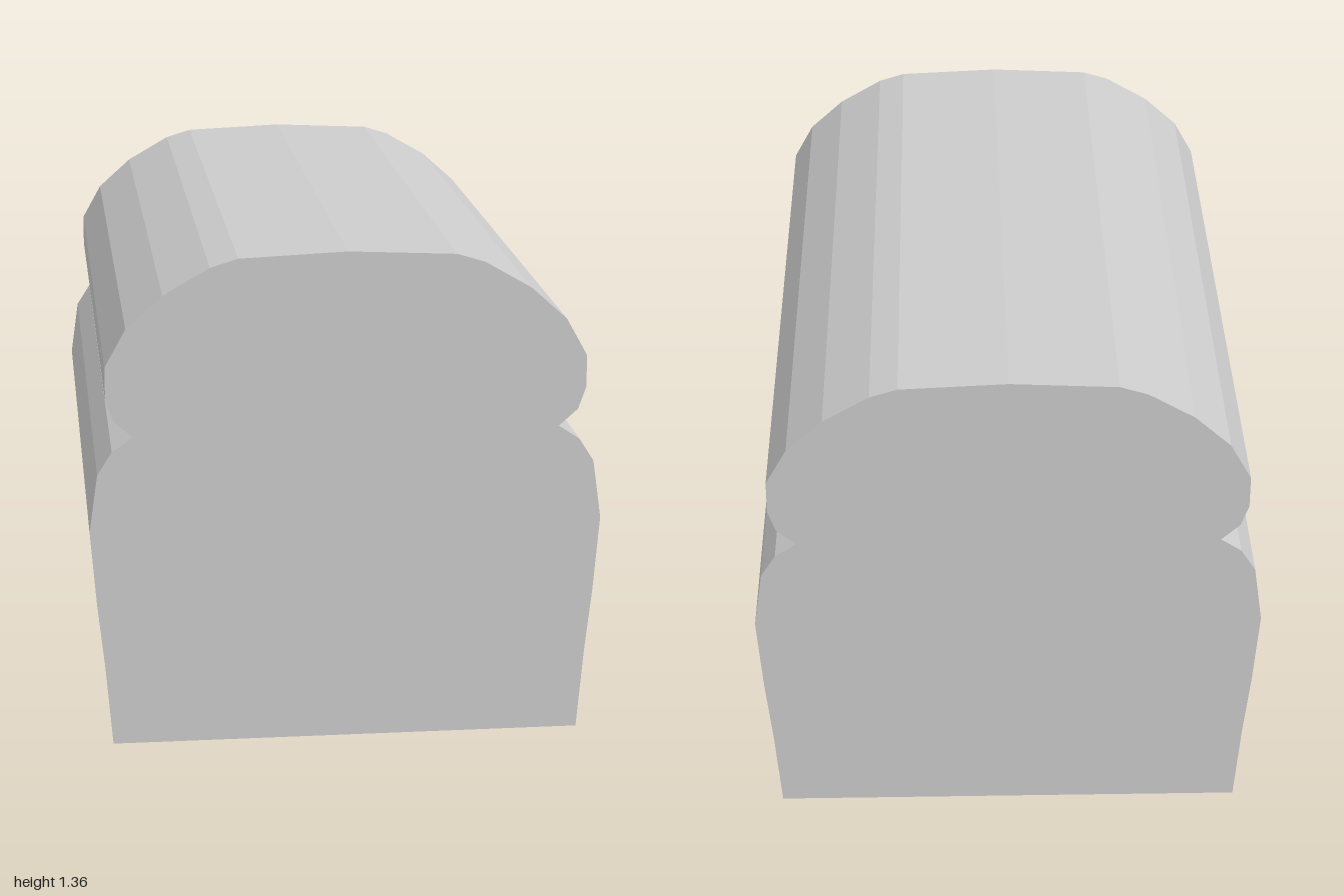
import * as THREE from 'three';

export function createModel() {
  const group = new THREE.Group();
  group.name = 'breadLoaf';

  // Half outline of a slice, from the base up to the crown
  const half = [
    [0.64, 0], [0.658, 0.22], [0.677, 0.4], [0.693, 0.605], [0.67, 0.765],
    [0.63, 0.828], [0.573, 0.866], [0.624, 0.912], [0.645, 0.972], [0.645, 1.06],
    [0.588, 1.162], [0.49, 1.25], [0.365, 1.322], [0.29, 1.345],
  ];
  const mirrored = half.map(([x, y]) => [-x, y]).reverse();
  const outline = [...half, [0, 1.358], ...mirrored];
  const slice = new THREE.Shape(outline.map(([x, y]) => new THREE.Vector2(x, y)));

  // Loaf: the slice swept along z
  const geometry = new THREE.ExtrudeGeometry(slice, { depth: 2, bevelEnabled: false });
  geometry.translate(0, 0, -1);
  const loaf = new THREE.Mesh(
    geometry,
    new THREE.MeshStandardMaterial({ color: 0xcccccc, flatShading: true }),
  );
  loaf.name = 'loaf';
  group.add(loaf);

  return group;
}
